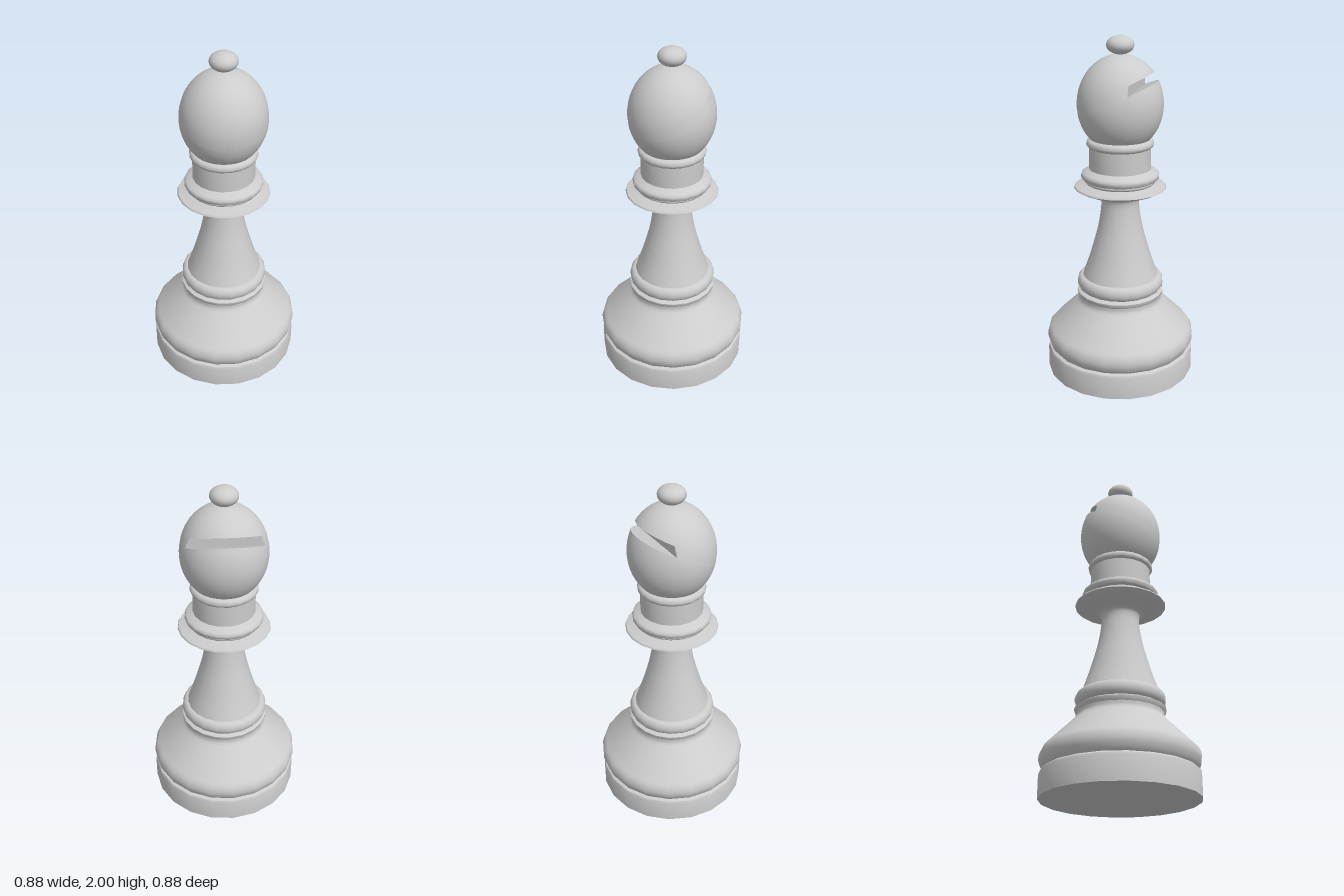
import * as THREE from 'three';
import { toCreasedNormals } from 'three/addons/utils/BufferGeometryUtils.js';

const SIDES = 20;
const TURN = -0.05;   // slight twist of the polygonal sides
const CREASE = 0.65;

// Turned part from [radius, height] pairs; smooth profiles are run through a spline
function turned(name, pairs, material, smooth = 0) {
  let pts = pairs.map(([r, y]) => new THREE.Vector2(r, y));
  if (smooth) pts = new THREE.SplineCurve(pts).getPoints(smooth);
  const geo = new THREE.LatheGeometry(pts, SIDES, TURN, Math.PI * 2);
  const mesh = new THREE.Mesh(toCreasedNormals(geo, CREASE), material);
  mesh.name = name;
  return mesh;
}

// Half-round bead profile between two heights
function bead(inner, outer, y0, y1, steps = 10) {
  const pairs = [];
  for (let i = 0; i <= steps; i++) {
    const a = -Math.PI / 2 + (Math.PI * i) / steps;
    pairs.push([inner + (outer - inner) * Math.cos(a), (y0 + y1) / 2 + ((y1 - y0) / 2) * Math.sin(a)]);
  }
  return [[0, y0], ...pairs, [0, y1]];
}

// Egg-shaped head with a tilted slot cut into its back
function slottedHead() {
  const R = 0.243, CY = 1.62, UP = 0.28, DOWN = 0.27, START = -0.79;
  const slotTurn = Math.PI * 7 / 6, slope = 0.466, wall = 0.094;
  const n = new THREE.Vector3(Math.sin(slotTurn), 0, Math.cos(slotTurn));
  const pull = n.clone().setY(slope);
  const SEG = 120, ROWS = 14;

  const skin = (t, p) => new THREE.Vector3(
    R * Math.cos(p) * Math.sin(t),
    CY + (p > 0 ? UP : DOWN) * Math.sin(p),
    R * Math.cos(p) * Math.cos(t));
  // latitude where a slot plane meets the skin
  const meet = (t, base) => {
    let p = 0.3;
    for (let i = 0; i < 30; i++) {
      const h = base + slope * R * Math.cos(p) * Math.cos(t - slotTurn) - CY;
      p = Math.asin(h / (h > 0 ? UP : DOWN));
    }
    return p;
  };
  // slide a point along the slot plane to the back wall
  const inward = (v) => v.clone().addScaledVector(pull, -Math.max(0, v.dot(n) - wall));

  const positions = [], index = [];
  const rowCount = 2 * ROWS + 4;
  for (let s = 0; s <= SEG; s++) {
    const t = ((s % SEG) / SEG) * Math.PI * 2;
    const pF = meet(t, 1.659), pC = meet(t, 1.716);
    const column = [];
    for (let i = 0; i <= ROWS; i++) column.push(skin(t, START + (pF - START) * i / ROWS));
    column.push(inward(skin(t, pF)), inward(skin(t, pC)));
    for (let i = 0; i <= ROWS; i++) column.push(skin(t, pC + (Math.PI / 2 - pC) * i / ROWS));
    column.forEach((v) => positions.push(v.x, v.y, v.z));
  }
  for (let s = 0; s < SEG; s++) {
    for (let r = 0; r < rowCount - 1; r++) {
      const a = s * rowCount + r, b = a + rowCount;
      index.push(a, b, b + 1, a, b + 1, a + 1);
    }
  }
  const geo = new THREE.BufferGeometry();
  geo.setAttribute('position', new THREE.Float32BufferAttribute(positions, 3));
  geo.setIndex(index);
  geo.computeVertexNormals();
  return toCreasedNormals(geo, 0.5);
}

export function createModel() {
  const group = new THREE.Group();
  group.name = 'chessBishop';
  const grey = new THREE.MeshStandardMaterial({ color: 0xcccccc });
  grey.name = 'light grey';

  // Foot and swelling base
  group.add(turned('foot', [[0, 0], [0.44, 0], [0.44, 0.13], [0.435, 0.145], [0.42, 0.155], [0, 0.155]], grey));
  group.add(turned('baseSwell', [
    [0.415, 0.15], [0.432, 0.175], [0.443, 0.215], [0.432, 0.26], [0.395, 0.3],
    [0.335, 0.36], [0.275, 0.42], [0.25, 0.45], [0.248, 0.48]], grey, 32));
  group.add(turned('baseLip', [[0.246, 0.475], [0.256, 0.49], [0.258, 0.505], [0.24, 0.515], [0, 0.515]], grey));
  group.add(turned('baseRing', bead(0.225, 0.256, 0.515, 0.6), grey));

  // Tapered stem running into the underside of the collar
  group.add(turned('stem', [
    [0.222, 0.6], [0.187, 0.7], [0.157, 0.8], [0.131, 0.9], [0.114, 1.0],
    [0.111, 1.06], [0.125, 1.09], [0.17, 1.108], [0.22, 1.12], [0.267, 1.143]], grey, 36));
  group.add(turned('collarTop', [[0.267, 1.143], [0.262, 1.152], [0.2, 1.165], [0.17, 1.175], [0, 1.18]], grey));

  // Neck with its rings
  group.add(turned('lowerNeckStep', bead(0.18, 0.205, 1.165, 1.2), grey));
  group.add(turned('neckRing', [
    [0.19, 1.185], [0.215, 1.192], [0.225, 1.21], [0.222, 1.228], [0.205, 1.24], [0.185, 1.25], [0.176, 1.255]], grey, 16));
  group.add(turned('neck', [[0.178, 1.24], [0.178, 1.385]], grey));
  group.add(turned('upperNeckRing', bead(0.165, 0.193, 1.375, 1.428), grey));

  // Head and knob
  const head = new THREE.Mesh(slottedHead(), grey);
  head.name = 'slottedHead';
  group.add(head);
  group.add(turned('knob', bead(0, 0.078, 1.896, 2.0, 14).slice(1, -1), grey));
  return group;
}
